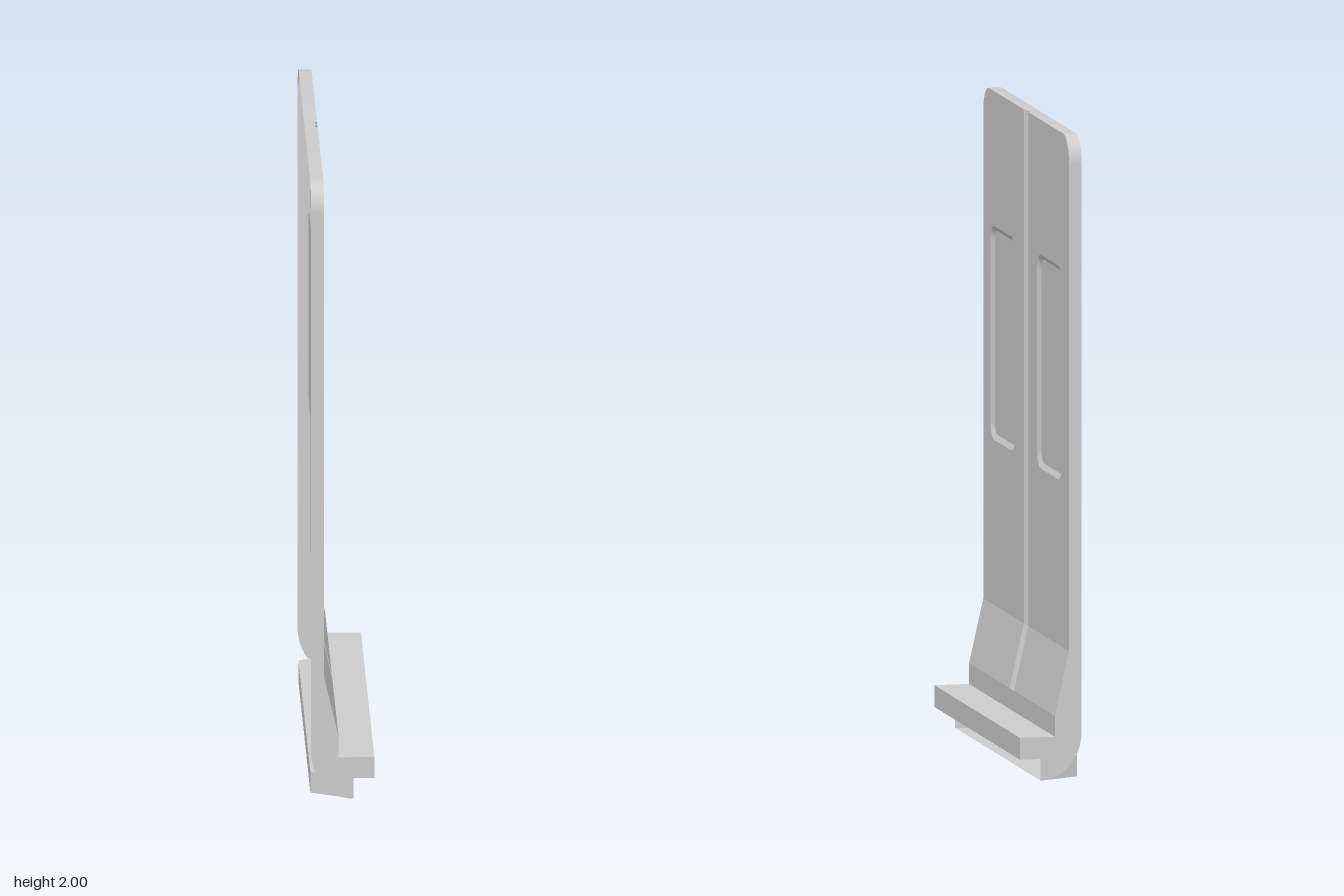
import * as THREE from 'three';
import { toCreasedNormals } from 'three/addons/utils/BufferGeometryUtils.js';

const BACK = -0.1, FACE = -0.06, LOW = -0.015, STEP = 0.095, SILL = 0.03;
const W = 0.575, H = 2, R = 0.08, BEND = 0.4, FOOT = 0.2, FLUTE = 0.03;
const material = new THREE.MeshStandardMaterial({ color: 0xcccccc, side: THREE.DoubleSide });

function add(group, geometry, name) {
  const mesh = new THREE.Mesh(toCreasedNormals(geometry, 0.6), material);
  mesh.name = name;
  group.add(mesh);
}

// Ruled surface through a list of equally long rows of [x, y, z] points
function loft(rows) {
  const pos = [];
  for (let r = 0; r < rows.length - 1; r++) {
    for (let i = 0; i < rows[r].length - 1; i++) {
      const [a, b, c, d] = [rows[r][i], rows[r][i + 1], rows[r + 1][i + 1], rows[r + 1][i]];
      pos.push(...a, ...b, ...c, ...a, ...c, ...d);
    }
  }
  const g = new THREE.BufferGeometry();
  g.setAttribute('position', new THREE.Float32BufferAttribute(pos, 3));
  g.computeVertexNormals();
  return g;
}

// Flat sheet from a shape; place(u, v) gives its position in space
function sheet(shape, place) {
  const g = new THREE.ShapeGeometry(shape, 10);
  const p = g.attributes.position;
  for (let i = 0; i < p.count; i++) p.setXYZ(i, ...place(p.getX(i), p.getY(i)));
  g.computeVertexNormals();
  return g;
}

function roundedRect(inset) {
  const l = 0.148 + inset, r = 0.478 - inset, b = 0.914 + inset, t = 1.58 - inset;
  const q = 0.05 - inset;
  const s = new THREE.Shape();
  s.absarc(r - q, t - q, q, 0, Math.PI / 2);
  s.absarc(l + q, t - q, q, Math.PI / 2, Math.PI);
  s.absarc(l + q, b + q, q, Math.PI, Math.PI * 1.5);
  s.absarc(r - q, b + q, q, Math.PI * 1.5, Math.PI * 2);
  s.closePath();
  return s;
}

export function createModel() {
  const model = new THREE.Group();

  // Twin concave flutes along the centre seam: [z, depth]
  const flutes = [];
  for (let i = -8; i <= 8; i++) {
    const t = Math.abs(i) / 8;
    flutes.push([(FLUTE * i) / 8, 0.007 * Math.sqrt(Math.max(0, 1 - (2 * t - 1) ** 2))]);
  }
  const fluteRow = (x, y) => flutes.map(([z, d]) => [x - d, y, z]);
  add(model, loft([fluteRow(FACE, H), fluteRow(FACE, BEND)]), 'seamFlutes');
  add(model, loft([fluteRow(FACE, BEND), fluteRow(LOW, FOOT)]), 'seamFlutesLower');
  add(model, loft([fluteRow(LOW, FOOT), flutes.map(([z]) => [LOW, FOOT, z])]), 'seamFluteEnd');

  for (const side of [1, -1]) {
    const tag = side > 0 ? 'Front' : 'Rear';

    // Flat leaf with one rounded top corner and a window opening
    const leaf = new THREE.Shape();
    leaf.moveTo(FLUTE, BEND);
    leaf.lineTo(W, BEND);
    leaf.absarc(W - R, H - R, R, 0, Math.PI / 2);
    leaf.lineTo(FLUTE, H);
    leaf.closePath();
    leaf.holes.push(roundedRect(0));
    add(model, sheet(leaf, (u, v) => [FACE, v, side * u]), 'doorLeaf' + tag);

    // Recessed window: bevelled rim and pane
    const ring = (inset, x) => roundedRect(inset).getPoints(8).map(p => [x, p.y, side * p.x]);
    add(model, loft([ring(0, FACE), ring(0.016, FACE - 0.01)]), 'windowRim' + tag);
    add(model, sheet(roundedRect(0.016), (u, v) => [FACE - 0.01, v, side * u]), 'windowPane' + tag);

    // Sloping lower panel
    add(model, loft([
      [[FACE, BEND, side * FLUTE], [FACE, BEND, side * W]],
      [[LOW, FOOT, side * FLUTE], [LOW, FOOT, side * W]],
    ]), 'lowerSlope' + tag);

    // End plate following the profile, with a curved lower back corner
    const end = new THREE.Shape();
    end.moveTo(BACK, H - R);
    for (const [x, y] of [[FACE, H - R], [FACE, BEND], [LOW, FOOT], [LOW, 0.135],
      [STEP, 0.135], [STEP, 0.067], [SILL, 0.067], [SILL, 0]]) end.lineTo(x, y);
    end.absellipse(SILL, 0.15, SILL - BACK, 0.15, Math.PI * 1.5, Math.PI, true);
    end.closePath();
    add(model, sheet(end, (u, v) => [u, v, side * W]), 'endPlate' + tag);
  }

  // Top edge with rounded corners, notched by the flutes
  const edge = [];
  for (let i = 0; i <= 10; i++) {
    const a = (i / 10) * Math.PI / 2;
    edge.push([-(W - R) - R * Math.cos(a), H - R + R * Math.sin(a), 0]);
  }
  const mirrored = edge.map(([z, y, d]) => [-z, y, d]).reverse();
  const outline = [...edge, ...flutes.map(([z, d]) => [z, H, d]), ...mirrored];
  add(model, loft([
    outline.map(([z, y]) => [BACK, y, z]),
    outline.map(([z, y, d]) => [FACE - d, y, z]),
  ]), 'topEdge');

  // Kick panel and projecting step
  const profile = [[LOW, FOOT], [LOW, 0.135], [STEP, 0.135], [STEP, 0.067], [SILL, 0.067]];
  add(model, loft([W, -W].map(z => profile.map(([x, y]) => [x, y, z]))), 'step');

  // Sill tray: open at the front, tapering toward the back
  const tray = y => [[SILL, y, W], [BACK, y, 0.515], [BACK, y, -0.515], [SILL, y, -W]];
  add(model, loft([tray(0), tray(0.067)]), 'sillWalls');
  for (const y of [0, 0.067]) {
    const [a, b, c, d] = tray(y);
    add(model, loft([[a, d], [b, c]]), y ? 'sillTop' : 'sillBottom');
  }
  return model;
}
